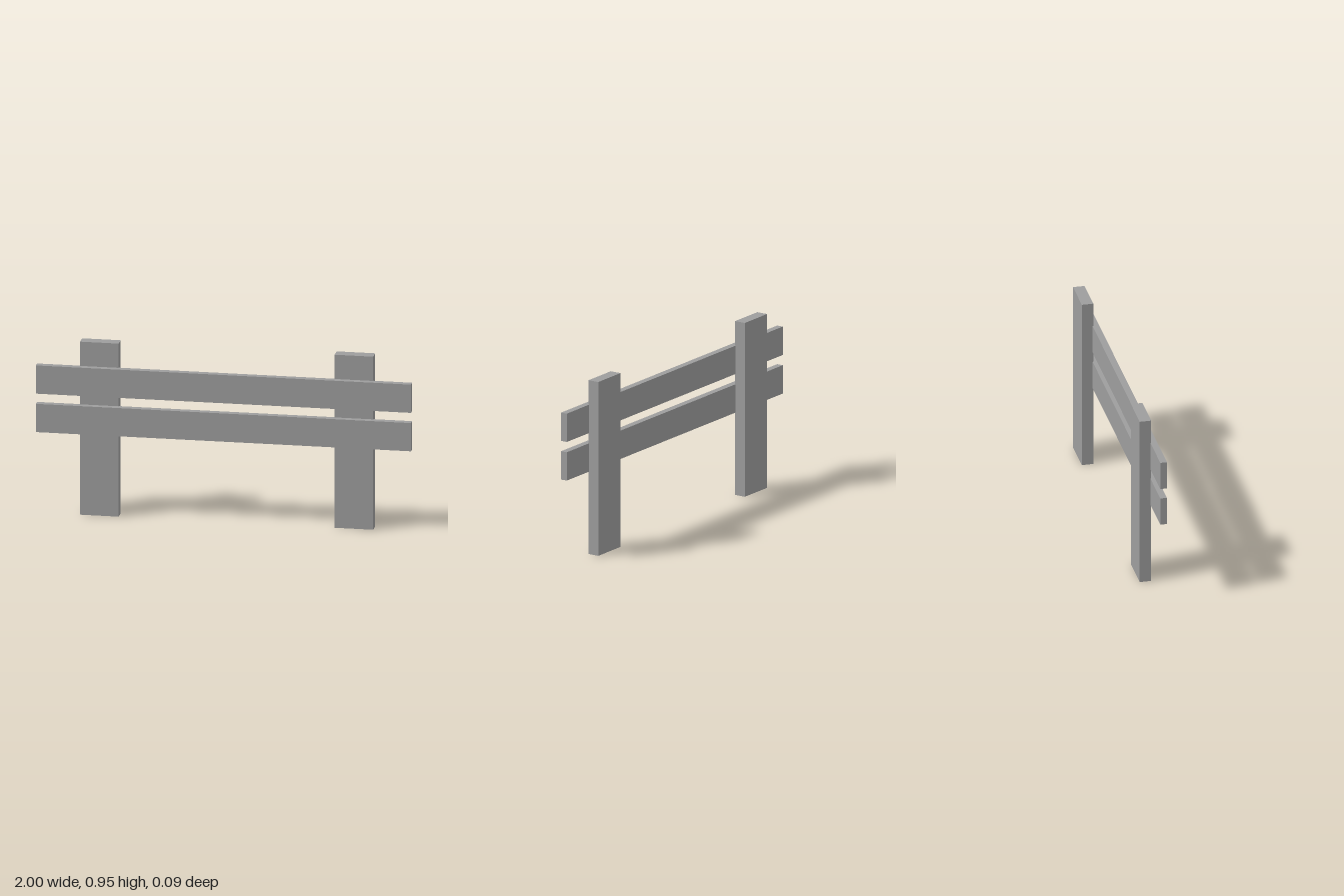
import * as THREE from 'three';

const material = new THREE.MeshStandardMaterial({
  color: 0x9d9d9d, flatShading: true, side: THREE.DoubleSide,
});

// Box given by its lower and upper corners
function board(name, [x0, y0, z0], [x1, y1, z1]) {
  const geometry = new THREE.BoxGeometry(x1 - x0, y1 - y0, z1 - z0);
  geometry.translate((x0 + x1) / 2, (y0 + y1) / 2, (z0 + z1) / 2);
  const mesh = new THREE.Mesh(geometry, material);
  mesh.name = name;
  return mesh;
}

// Upright post, open at the ground: the box's underside (group 3) is left out
function post(name, x) {
  const mesh = board(name, [x - 0.103, 0, -0.047], [x + 0.103, 0.95, 0.015]);
  const index = Array.from(mesh.geometry.index.array);
  index.splice(18, 6);
  mesh.geometry.setIndex(index);
  mesh.geometry.clearGroups();
  return mesh;
}

export function createModel() {
  const fence = new THREE.Group();
  fence.name = 'fence';

  // Two posts, slightly off centre
  fence.add(post('rightPost', -0.667), post('leftPost', 0.69));

  // Two rails sunk slightly into the front of the posts
  for (const [name, y] of [['lowerRail', 0.451], ['upperRail', 0.662]]) {
    fence.add(board(name, [-1, y, 0.011], [1, y + 0.155, 0.047]));
  }
  return fence;
}
